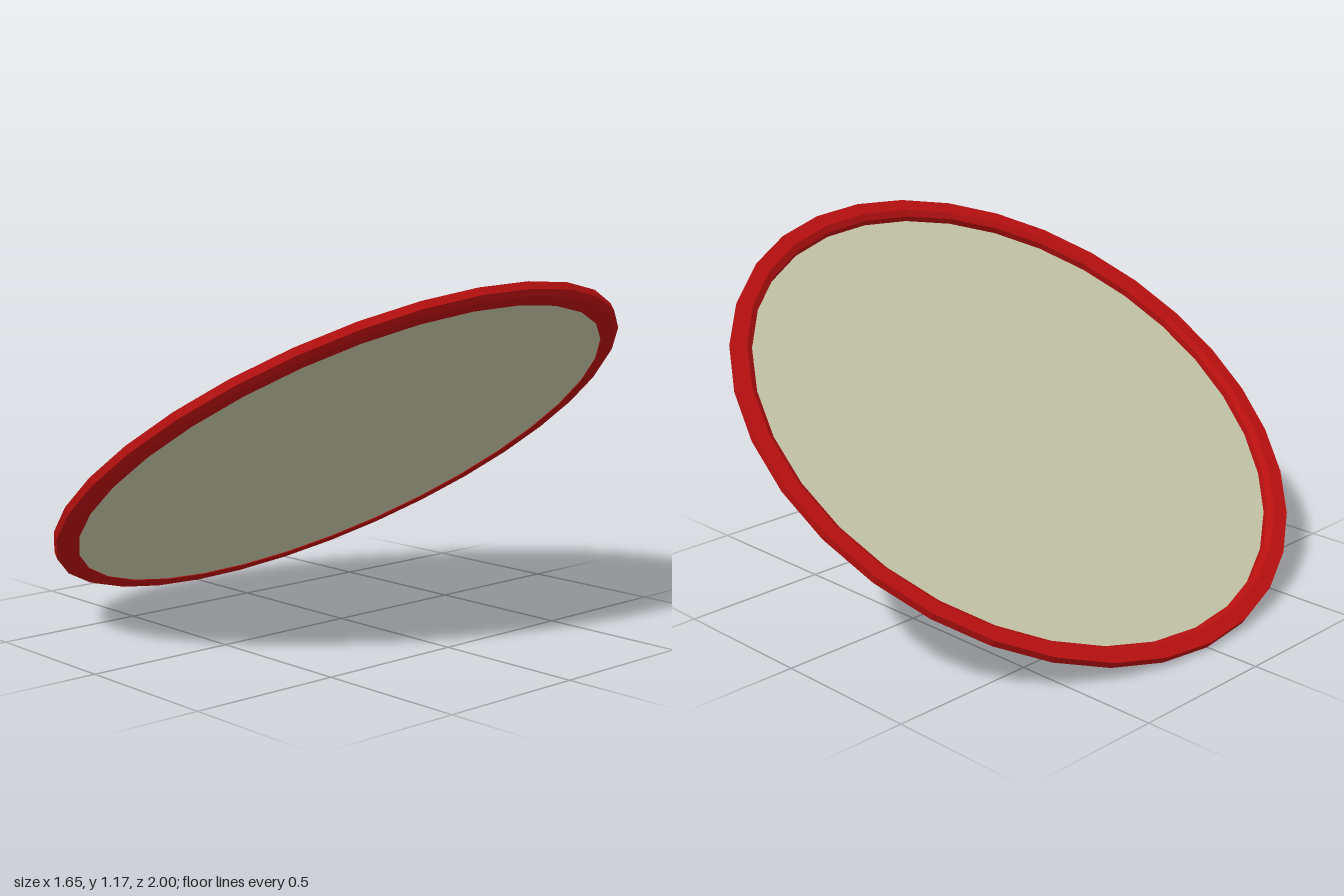
import * as THREE from 'three';

const SEGMENTS = 32;

export function createModel() {
  const red = new THREE.MeshStandardMaterial({ color: 0xb81010, flatShading: true });
  red.name = 'red rim';
  const cream = new THREE.MeshStandardMaterial({ color: 0xc6c6a8, side: THREE.DoubleSide });
  cream.name = 'cream panel';

  // rim: six-sided bar, bevelled inside on top and outside underneath
  const profile = [
    [1, -0.006], [1, 0.02], [0.95, 0.02], [0.93, 0.006],
    [0.93, -0.02], [0.98, -0.02], [1, -0.006],
  ].map(([r, y]) => new THREE.Vector2(r, y));
  const rim = new THREE.Mesh(new THREE.LatheGeometry(profile, SEGMENTS), red);
  rim.name = 'rim';

  // flat panel set close to the underside of the rim
  const disc = new THREE.CircleGeometry(0.935, SEGMENTS);
  disc.rotateX(-Math.PI / 2);
  const panel = new THREE.Mesh(disc, cream);
  panel.name = 'panel';
  panel.position.y = -0.017;

  // whole disc tilted so its left side is raised
  const tilted = new THREE.Group();
  tilted.name = 'tiltedDisc';
  tilted.add(rim, panel);
  tilted.rotation.z = THREE.MathUtils.degToRad(35);
  tilted.position.set(0.004, 0.5785, 0);

  const model = new THREE.Group();
  model.name = 'rimmedDisc';
  model.add(tilted);
  return model;
}
